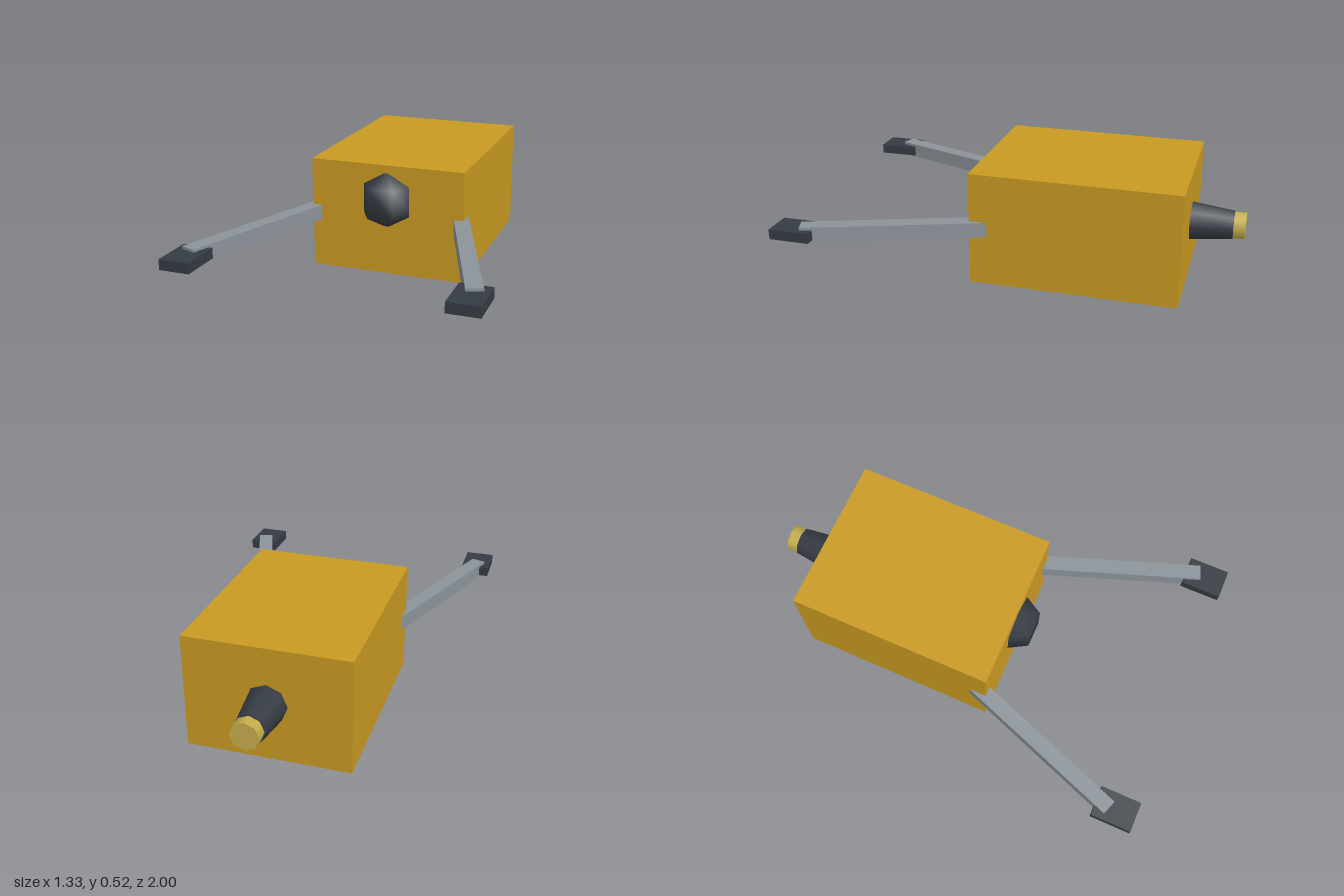
import * as THREE from 'three';

const paint = (name, color) => {
  const m = new THREE.MeshStandardMaterial({ color });
  m.name = name;
  return m;
};

export function createModel() {
  const yellow = paint('yellow', 0xc99a22);
  const dark = paint('dark grey', 0x353b43);
  const steel = paint('steel grey', 0x8b9399);
  const brass = paint('brass', 0xc6ae4c);
  const model = new THREE.Group();

  const add = (name, geometry, material, x, y, z) => {
    const mesh = new THREE.Mesh(geometry, material);
    mesh.name = name;
    mesh.position.set(x, y, z);
    model.add(mesh);
    return mesh;
  };

  // Box body
  add('body', new THREE.BoxGeometry(0.728, 0.52, 0.94), yellow, 0, 0.26, -0.288);

  // Coarse dome half sunk into the front
  add('frontDome', new THREE.SphereGeometry(0.139, 6, 3), dark, 0, 0.356, 0.162 + 0.0);

  // Tapered nozzle with a brass tip, pointing backwards
  add('nozzle', new THREE.CylinderGeometry(0.093, 0.068, 0.2, 8), dark, 0, 0.263, -0.848).rotation.x = Math.PI / 2;
  add('nozzleTip', new THREE.CylinderGeometry(0.064, 0.064, 0.08, 8), brass, 0, 0.263, -0.96).rotation.x = Math.PI / 2;

  // Splayed arms, each ending in a flat foot
  const angle = THREE.MathUtils.degToRad(19.8);
  const length = 0.85;
  for (const [side, label] of [[1, 'left'], [-1, 'right']]) {
    const x = side * (0.607 - Math.sin(angle) * length / 2);
    const z = 0.878 - Math.cos(angle) * length / 2;
    add(label + 'Arm', new THREE.BoxGeometry(0.07, 0.07, length), steel, x, 0.263, z).rotation.y = side * angle;
    add(label + 'Foot', new THREE.BoxGeometry(0.136, 0.046, 0.185), dark, side * 0.598, 0.263, 0.9075);
  }

  // Dome centre sits on the front face
  model.getObjectByName('frontDome').position.z = 0.162;
  return model;
}
